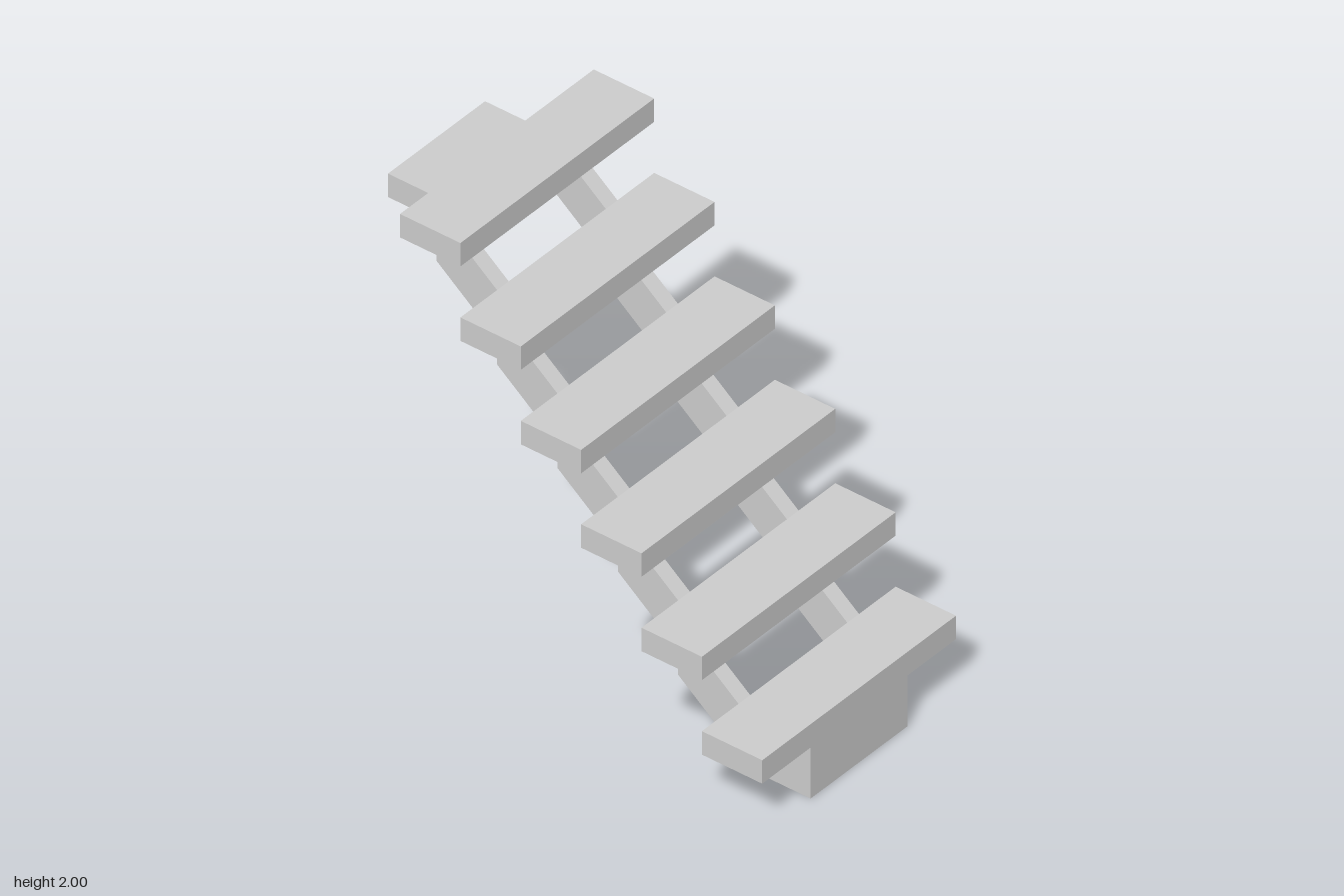
import * as THREE from 'three';

const STEPS = 6;
const RISE = 2 / STEPS;          // height gained per step
const RUN = 1.945 / 7;           // depth of one tread
const FRONT = 0.9725;            // front edge of the lowest tread
const THICK = 0.105;             // tread thickness
const INNER = 0.278, OUTER = 0.345; // side beam faces in x

export function createModel() {
  const group = new THREE.Group();
  const grey = new THREE.MeshStandardMaterial({ color: 0xcccccc });
  grey.name = 'light grey';

  // Box given by its width, its y range and the index of its depth slot
  const slab = (name, width, y0, y1, slot) => {
    const mesh = new THREE.Mesh(new THREE.BoxGeometry(width, y1 - y0, RUN), grey);
    mesh.name = name;
    mesh.position.set(0, (y0 + y1) / 2, FRONT - (slot + 0.5) * RUN);
    group.add(mesh);
  };

  // Base block, treads and rear landing
  slab('baseBlock', INNER * 2, 0, RISE - THICK, 0);
  for (let i = 0; i < STEPS; i++) {
    const top = RISE * (i + 1);
    slab('tread' + (i + 1), 1.11, top - THICK, top, i);
  }
  slab('rearLanding', INNER * 2, 1.784, 1.889, STEPS);

  // Slanted beam segment, drawn in (z, y) and extruded across x
  const lift = RISE * 2 / 3;
  const profile = new THREE.Shape([
    new THREE.Vector2(0, -lift),
    new THREE.Vector2(0, 0),
    new THREE.Vector2(-RUN, lift),
    new THREE.Vector2(-RUN, 0),
  ]);
  const beam = new THREE.ExtrudeGeometry(profile, { depth: OUTER - INNER, bevelEnabled: false });
  beam.rotateY(-Math.PI / 2);

  // One stepped row of segments on each side
  for (const [side, x] of [['left', OUTER], ['right', -INNER]]) {
    const stringer = new THREE.Group();
    stringer.name = side + 'Stringer';
    for (let i = 0; i < STEPS - 1; i++) {
      const mesh = new THREE.Mesh(beam, grey);
      mesh.name = side + 'StringerSegment' + (i + 1);
      mesh.position.set(x, RISE * (i + 1), FRONT - (i + 1) * RUN);
      stringer.add(mesh);
    }
    group.add(stringer);
  }
  return group;
}
